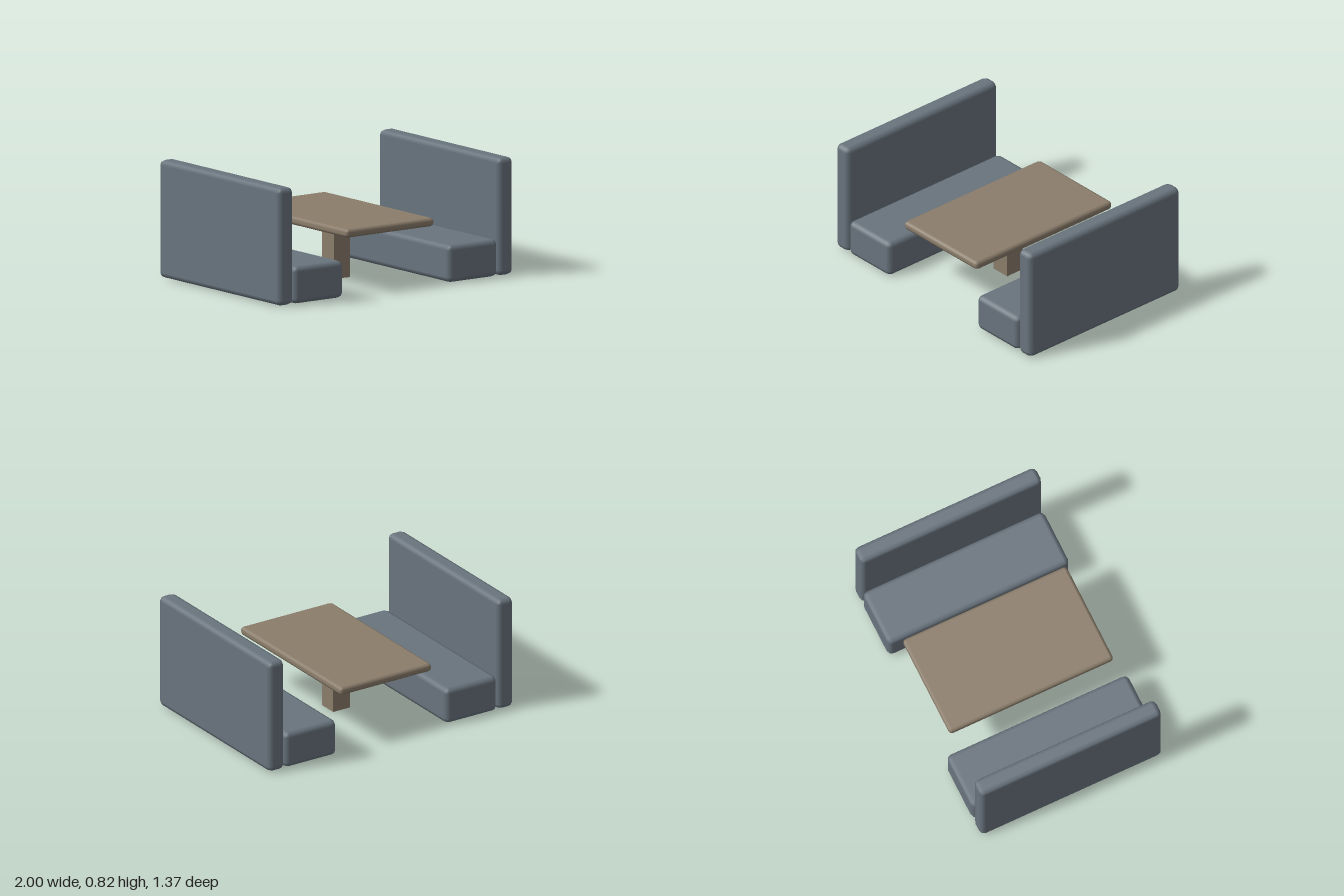
import * as THREE from 'three';
import { RoundedBoxGeometry } from 'three/addons/geometries/RoundedBoxGeometry.js';

export function createModel() {
  const group = new THREE.Group();
  group.name = 'diningBooth';

  const upholstery = new THREE.MeshStandardMaterial({ color: 0x69747e });
  upholstery.name = 'slate upholstery';
  const wood = new THREE.MeshStandardMaterial({ color: 0x8b7d6b });
  wood.name = 'taupe wood';

  function add(name, geometry, material, x, y, parent = group) {
    const mesh = new THREE.Mesh(geometry, material);
    mesh.name = name;
    mesh.position.set(x, y, 0);
    parent.add(mesh);
  }

  // Mirrored benches: a seat block with a tall backrest on the outside
  const seat = new RoundedBoxGeometry(0.422, 0.258, 1.37, 1, 0.036);
  const back = new RoundedBoxGeometry(0.128, 0.815, 1.37, 1, 0.036);
  for (const side of [-1, 1]) {
    const bench = new THREE.Group();
    bench.name = side > 0 ? 'leftBench' : 'rightBench';
    add('seat', seat, upholstery, side * 0.657, 0.134, bench);
    add('backrest', back, upholstery, side * 0.936, 0.4125, bench);
    group.add(bench);
  }

  // Table: softly rounded top on a square post
  add('tableTop', new RoundedBoxGeometry(0.75, 0.06, 1.24, 1, 0.024), wood, 0, 0.428);
  add('tablePost', new THREE.BoxGeometry(0.138, 0.4, 0.138), wood, 0, 0.2);

  return group;
}
